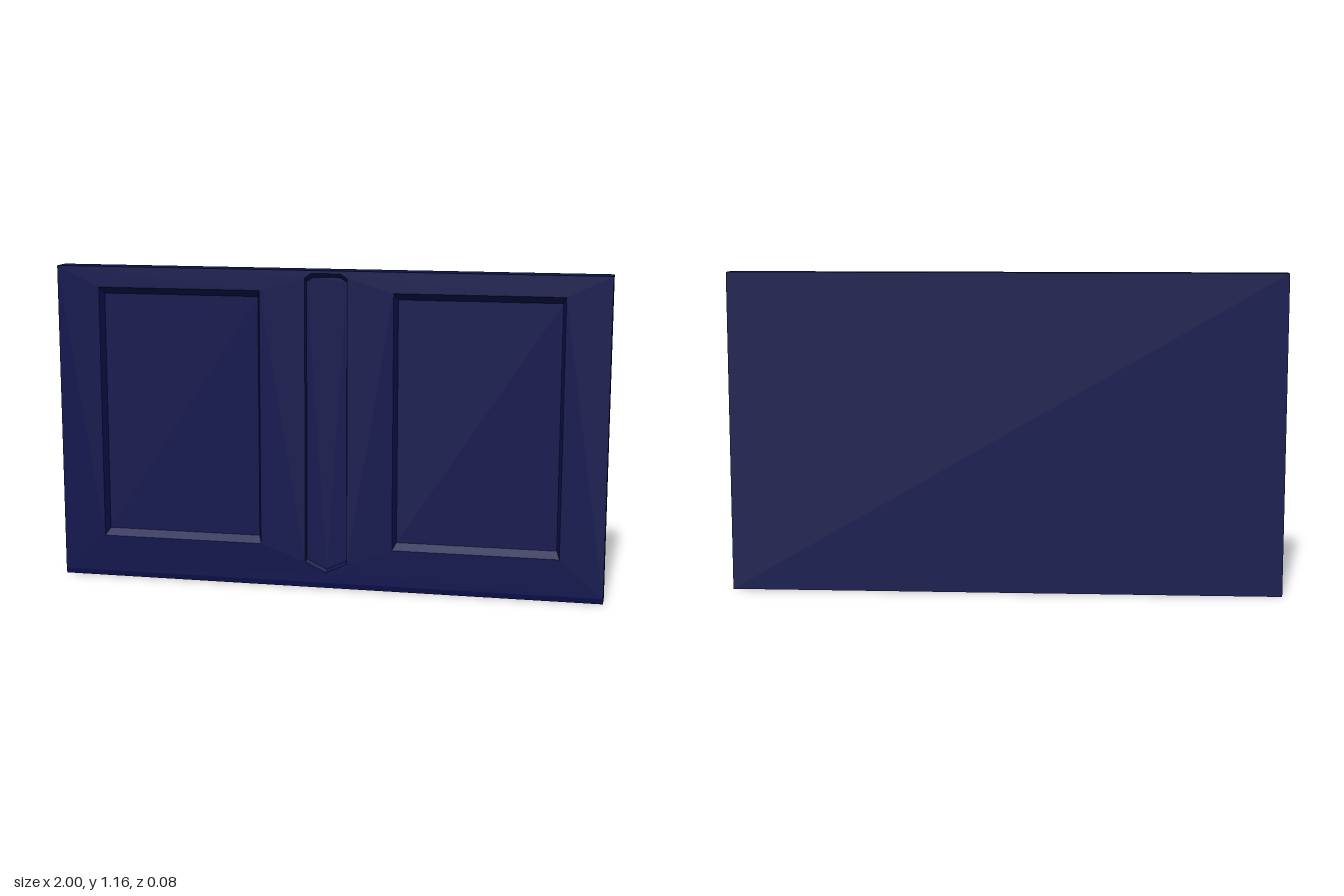
import * as THREE from 'three';

const material = new THREE.MeshStandardMaterial({ color: 0x0c114d, flatShading: true });
const FRONT = 0.04, BACK = -0.04, HEIGHT = 1.16;

const rect = (x0, y0, x1, y1) => [[x0, y0], [x1, y0], [x1, y1], [x0, y1]];
const toPoints = (ring) => ring.map(([x, y]) => new THREE.Vector2(x, y));

function addMesh(group, name, geometry) {
  const mesh = new THREE.Mesh(geometry, material);
  mesh.name = name;
  group.add(mesh);
  return mesh;
}

// Flat face at depth z, with optional openings
function addFace(group, name, ring, z, holes = []) {
  const shape = new THREE.Shape(toPoints(ring));
  holes.forEach((h) => shape.holes.push(new THREE.Path(toPoints(h))));
  return addMesh(group, name, new THREE.ShapeGeometry(shape).translate(0, 0, z));
}

// Walls joining two matching counter-clockwise rings
function addWalls(group, name, a, za, b, zb) {
  const pos = [];
  a.forEach((p, i) => {
    const j = (i + 1) % a.length;
    const A = [...p, za], B = [...a[j], za], C = [...b[j], zb], D = [...b[i], zb];
    pos.push(...A, ...B, ...C, ...A, ...C, ...D);
  });
  const geometry = new THREE.BufferGeometry();
  geometry.setAttribute('position', new THREE.Float32BufferAttribute(pos, 3));
  geometry.computeVertexNormals();
  return addMesh(group, name, geometry);
}

function addRecess(group, name, rim, floor, depth) {
  const recess = new THREE.Group();
  recess.name = name;
  addWalls(recess, name + 'Walls', rim, FRONT, floor, FRONT - depth);
  addFace(recess, name + 'Floor', floor, FRONT - depth);
  group.add(recess);
}

export function createModel() {
  const model = new THREE.Group();
  model.name = 'recessedPanelBoard';

  // Openings: two sloped rectangular panels and a pointed central strip
  const panels = [-1, 1].map((side) => ({
    name: side > 0 ? 'leftPanel' : 'rightPanel',
    rim: rect(side * 0.543 - 0.3, 0.155, side * 0.543 + 0.3, 1.085),
    floor: rect(side * 0.543 - 0.288, 0.178, side * 0.543 + 0.288, 1.06),
    depth: 0.03,
  }));
  const strip = (w, tip, shoulder, top) => [
    [0, tip], [w, shoulder], [w, top - 0.016], [w - 0.025, top],
    [-w + 0.025, top], [-w, top - 0.016], [-w, shoulder],
  ];
  const recesses = [...panels, {
    name: 'centreStrip',
    rim: strip(0.077, 0.058, 0.095, 1.15),
    floor: strip(0.073, 0.068, 0.103, 1.135),
    depth: 0.015,
  }];

  // Slab with a slim bevel along the lower front edge
  const outline = rect(-1, 0, 1, HEIGHT);
  const frontOutline = rect(-1, 0.02, 1, HEIGHT);
  addWalls(model, 'slabEdges', outline, BACK, outline, FRONT - 0.004);
  addWalls(model, 'frontBevel', outline, FRONT - 0.004, frontOutline, FRONT);
  addFace(model, 'frontFace', frontOutline, FRONT, recesses.map((r) => r.rim));
  const back = addFace(model, 'backFace', outline, 0);
  back.rotation.y = Math.PI;
  back.position.z = BACK;

  recesses.forEach((r) => addRecess(model, r.name, r.rim, r.floor, r.depth));
  return model;
}
